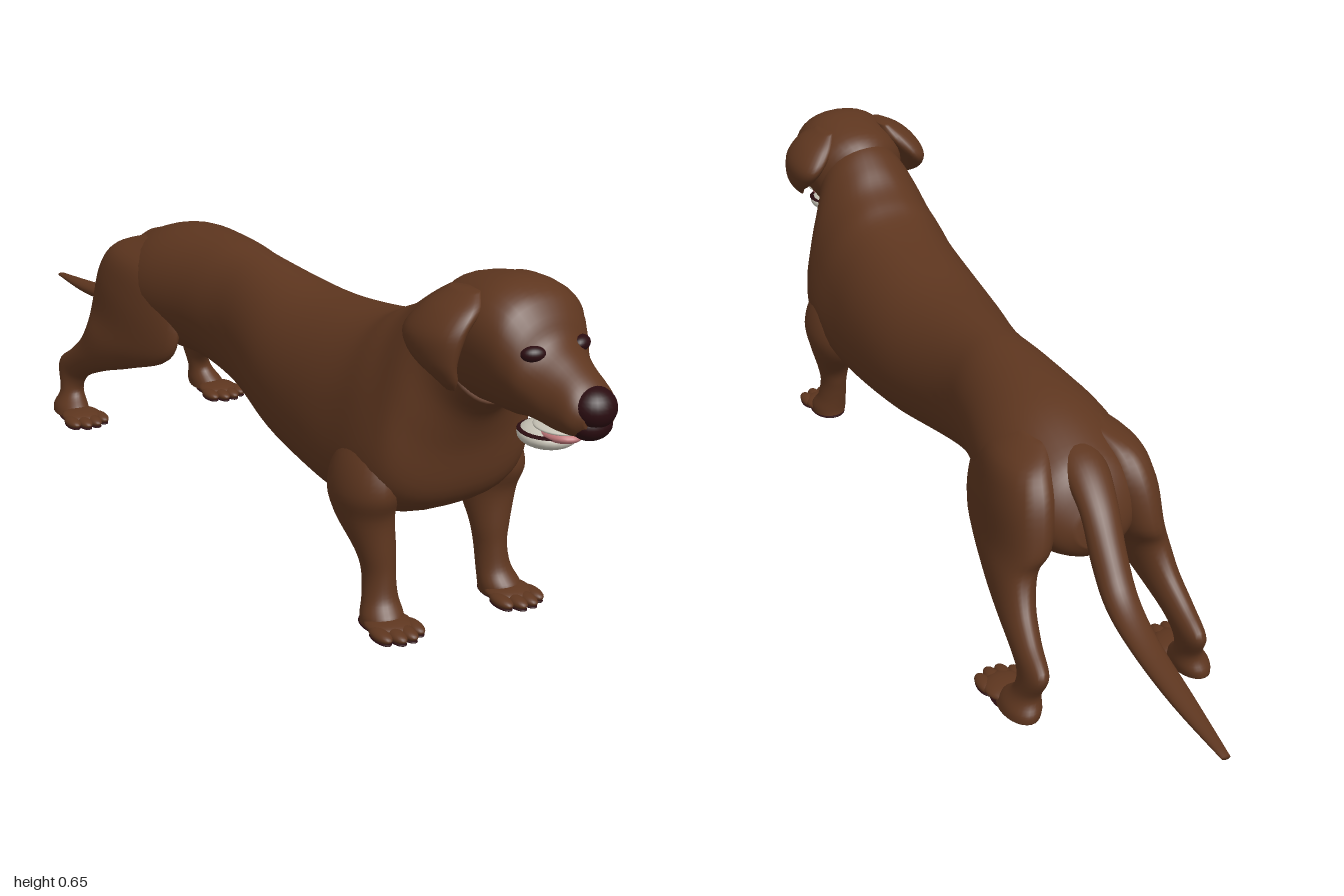
import * as THREE from 'three';

const flat = (name, color) => {
  const m = new THREE.MeshStandardMaterial({ color });
  m.name = name;
  return m;
};

// Smooth skin over cross-sections. Each row is
// [z, y of one edge, z, y of the opposite edge, half width, centre x, pear factor, squareness]
function loft(rows, sides = 28, steps = 5) {
  const at = (i, c) => rows[Math.min(Math.max(i, 0), rows.length - 1)][c] ?? 0;
  const spline = (i, t, c) => {
    const [p, q, r, s] = [at(i - 1, c), at(i, c), at(i + 1, c), at(i + 2, c)];
    return q + 0.5 * t * (r - p + t * (2 * p - 5 * q + 4 * r - s + t * (3 * (q - r) + s - p)));
  };
  const pos = [], idx = [], centres = [];
  const count = (rows.length - 1) * steps + 1;
  for (let n = 0; n < count; n++) {
    const i = Math.floor(n / steps), t = (n % steps) / steps;
    const [az, ay, bz, by, rx, cx, k, e] = [0, 1, 2, 3, 4, 5, 6, 7].map(c => spline(i, t, c));
    const bulge = v => Math.sign(v) * Math.abs(v) ** (1 - e);
    centres.push([cx, (ay + by) / 2, (az + bz) / 2]);
    for (let j = 0; j < sides; j++) {
      const u = (j / sides) * Math.PI * 2, s = bulge(Math.sin(u));
      pos.push(cx + rx * bulge(Math.cos(u)) * (1 - k * s),
        (ay + by) / 2 + s * (ay - by) / 2, (az + bz) / 2 + s * (az - bz) / 2);
    }
  }
  const first = count * sides, last = first + 1, end = (count - 1) * sides;
  pos.push(...centres[0], ...centres[count - 1]);
  for (let j = 0; j < sides; j++) {
    const m = (j + 1) % sides;
    for (let n = 0; n < count - 1; n++) {
      const a = n * sides + j, b = n * sides + m;
      idx.push(a, b, b + sides, a, b + sides, a + sides);
    }
    idx.push(first, m, j, last, end + j, end + m);
  }
  const g = new THREE.BufferGeometry();
  g.setAttribute('position', new THREE.Float32BufferAttribute(pos, 3));
  g.setIndex(idx);
  g.computeVertexNormals();
  return g;
}

export function createModel() {
  const coat = flat('brown coat', 0x5e361f);
  const dark = flat('dark skin', 0x2a0c10);
  const white = flat('teeth white', 0xc9c5b8);
  const pink = flat('tongue pink', 0xc0777a);

  const model = new THREE.Group();
  model.name = 'dog';
  const add = (parent, name, geometry, material = coat) => {
    const mesh = new THREE.Mesh(geometry, material);
    mesh.name = name;
    parent.add(mesh);
    return mesh;
  };
  const ball = (parent, name, p, r, material = coat) => {
    const mesh = add(parent, name, new THREE.SphereGeometry(1, 24, 16), material);
    mesh.position.set(...p);
    mesh.scale.set(...r);
    return mesh;
  };
  const group = (parent, name) => {
    const g = new THREE.Group();
    g.name = name;
    parent.add(g);
    return g;
  };

  // Trunk from rump to neck, with a broad low chest
  add(model, 'body', loft([
    [-0.50, 0.34, -0.51, 0.27, 0.04],
    [-0.47, 0.40, -0.485, 0.24, 0.09],
    [-0.42, 0.435, -0.42, 0.22, 0.12],
    [-0.30, 0.475, -0.30, 0.215, 0.135],
    [-0.12, 0.487, -0.15, 0.222, 0.11],
    [0.00, 0.482, 0.00, 0.20, 0.102],
    [0.20, 0.47, 0.20, 0.17, 0.14, 0, 0.05, 0.05],
    [0.36, 0.485, 0.36, 0.155, 0.153, 0, 0.12, 0.1],
    [0.465, 0.505, 0.49, 0.16, 0.155, 0, 0.2, 0.18],
    [0.52, 0.53, 0.60, 0.185, 0.155, 0, 0.25, 0.22],
    [0.56, 0.55, 0.668, 0.235, 0.145, 0, 0.25, 0.2],
    [0.60, 0.58, 0.693, 0.33, 0.125, 0, 0.18, 0.08],
    [0.64, 0.605, 0.72, 0.39, 0.102],
    [0.68, 0.62, 0.76, 0.43, 0.085],
  ], 44));
  ball(model, 'bellyFold', [0, 0.215, -0.06], [0.022, 0.02, 0.085]);

  // Tail from tip to base
  add(model, 'tail', loft([
    [-0.998, 0.178, -0.998, 0.170, 0.008, 0.014],
    [-0.85, 0.196, -0.85, 0.171, 0.021, 0.013],
    [-0.72, 0.217, -0.71, 0.184, 0.027, 0.012],
    [-0.64, 0.25, -0.61, 0.21, 0.031, 0.01],
    [-0.588, 0.307, -0.546, 0.265, 0.033, 0.008],
    [-0.53, 0.375, -0.50, 0.335, 0.036, 0.004],
    [-0.46, 0.424, -0.44, 0.365, 0.043],
    [-0.38, 0.44, -0.38, 0.37, 0.045],
  ]));

  // Head, turned a little to its left
  const head = group(model, 'head');
  head.rotation.y = 0.06;
  head.position.x = -0.65 * Math.sin(0.06);
  add(head, 'skullAndMuzzle', loft([
    [0.64, 0.60, 0.70, 0.43, 0.07],
    [0.68, 0.63, 0.72, 0.428, 0.10, 0, -0.1],
    [0.775, 0.65, 0.775, 0.43, 0.103, 0, -0.18, 0.05],
    [0.835, 0.636, 0.82, 0.43, 0.095, 0, -0.18, 0.08],
    [0.865, 0.605, 0.85, 0.434, 0.083, 0, -0.12, 0.05],
    [0.885, 0.572, 0.88, 0.435, 0.07],
    [0.92, 0.548, 0.92, 0.433, 0.058, 0, 0.1, 0.05],
    [0.96, 0.522, 0.96, 0.437, 0.05, 0, 0.1, 0.05],
    [0.982, 0.495, 0.98, 0.45, 0.032],
  ], 36));
  ball(head, 'nose', [0, 0.485, 0.964], [0.039, 0.034, 0.036], dark);
  ball(head, 'upperLip', [0, 0.457, 0.962], [0.036, 0.025, 0.029], dark);

  // Open mouth: upper teeth, tongue, dark lip line and pale lower jaw
  ball(head, 'upperTeeth', [0, 0.434, 0.895], [0.042, 0.007, 0.046], white);
  ball(head, 'tongue', [0, 0.421, 0.893], [0.032, 0.013, 0.042], pink);
  ball(head, 'lipLine', [0, 0.418, 0.868], [0.05, 0.004, 0.051], dark);
  ball(head, 'lowerJaw', [0, 0.41, 0.866], [0.048, 0.021, 0.05], white);

  for (const s of [-1, 1]) {
    const side = s > 0 ? 'left' : 'right';
    const mirror = (rows, shift = 0) =>
      rows.map(([a, b, c, d, rx, cx, k]) => [a, b, c, d, rx, cx * s + shift, k]);
    const eye = ball(head, side + 'Eye', [0.049 * s, 0.555, 0.878], [0.021, 0.013, 0.014], dark);
    eye.rotation.y = 0.4 * s;

    // Hanging ear flap, thick where it joins the skull
    add(head, side + 'Ear', loft(mirror([
      [0.775, 0.632, 0.71, 0.63, 0.014, 0.066],
      [0.80, 0.61, 0.68, 0.60, 0.034, 0.09],
      [0.805, 0.575, 0.665, 0.56, 0.032, 0.12],
      [0.80, 0.53, 0.695, 0.525, 0.022, 0.13],
      [0.795, 0.50, 0.75, 0.495, 0.013, 0.123],
      [0.785, 0.482, 0.765, 0.48, 0.004, 0.117],
    ], -0.008)));

    // Front leg, with the shoulder blending into the chest
    add(model, side + 'FrontLeg', loft(mirror([
      [0.605, 0.36, 0.54, 0.36, 0.02, 0.1],
      [0.635, 0.30, 0.50, 0.30, 0.044, 0.122],
      [0.648, 0.245, 0.485, 0.24, 0.053, 0.13],
      [0.63, 0.195, 0.50, 0.19, 0.047, 0.128],
      [0.63, 0.13, 0.55, 0.13, 0.034, 0.12],
      [0.632, 0.09, 0.565, 0.09, 0.028, 0.118],
      [0.64, 0.05, 0.575, 0.05, 0.031, 0.12],
      [0.66, 0.025, 0.58, 0.02, 0.037, 0.124],
      [0.665, 0.006, 0.58, 0.006, 0.036, 0.125],
    ], -0.004)));

    // Thigh blending into the rump, hock and hind foot
    add(model, side + 'HindLeg', loft(mirror([
      [-0.29, 0.45, -0.39, 0.435, 0.02, 0.055],
      [-0.23, 0.39, -0.45, 0.41, 0.046, 0.085, 0.2],
      [-0.18, 0.30, -0.49, 0.36, 0.053, 0.097, 0.35],
      [-0.20, 0.222, -0.51, 0.28, 0.048, 0.11, 0.3],
      [-0.33, 0.168, -0.50, 0.235, 0.04, 0.13, 0.15],
      [-0.43, 0.133, -0.525, 0.185, 0.032, 0.142],
      [-0.505, 0.10, -0.57, 0.145, 0.026, 0.15],
      [-0.53, 0.075, -0.624, 0.105, 0.023, 0.154],
      [-0.535, 0.05, -0.60, 0.05, 0.024, 0.16],
      [-0.51, 0.026, -0.61, 0.02, 0.033, 0.167],
      [-0.49, 0.006, -0.61, 0.006, 0.035, 0.17],
    ])));

    // Paws: four toes over dark pads
    for (const [name, x, z] of [['FrontPaw', 0.126 * s - 0.004, 0.655], ['HindPaw', 0.17 * s, -0.49]]) {
      const paw = group(model, side + name);
      paw.position.set(x, 0, z);
      ball(paw, 'instep', [0, 0.014, -0.01], [0.042, 0.013, 0.045]);
      ball(paw, 'heelPad', [0, 0.005, -0.03], [0.037, 0.005, 0.05], dark);
      for (let i = 0; i < 4; i++) {
        const tx = (i - 1.5) * 0.022, tz = i % 3 ? 0.027 : 0.015;
        ball(paw, 'toe', [tx, 0.012, tz], [0.0145, 0.01, 0.03]);
        ball(paw, 'toePad', [tx, 0.004, tz], [0.013, 0.004, 0.029], dark);
      }
    }
  }
  return model;
}
